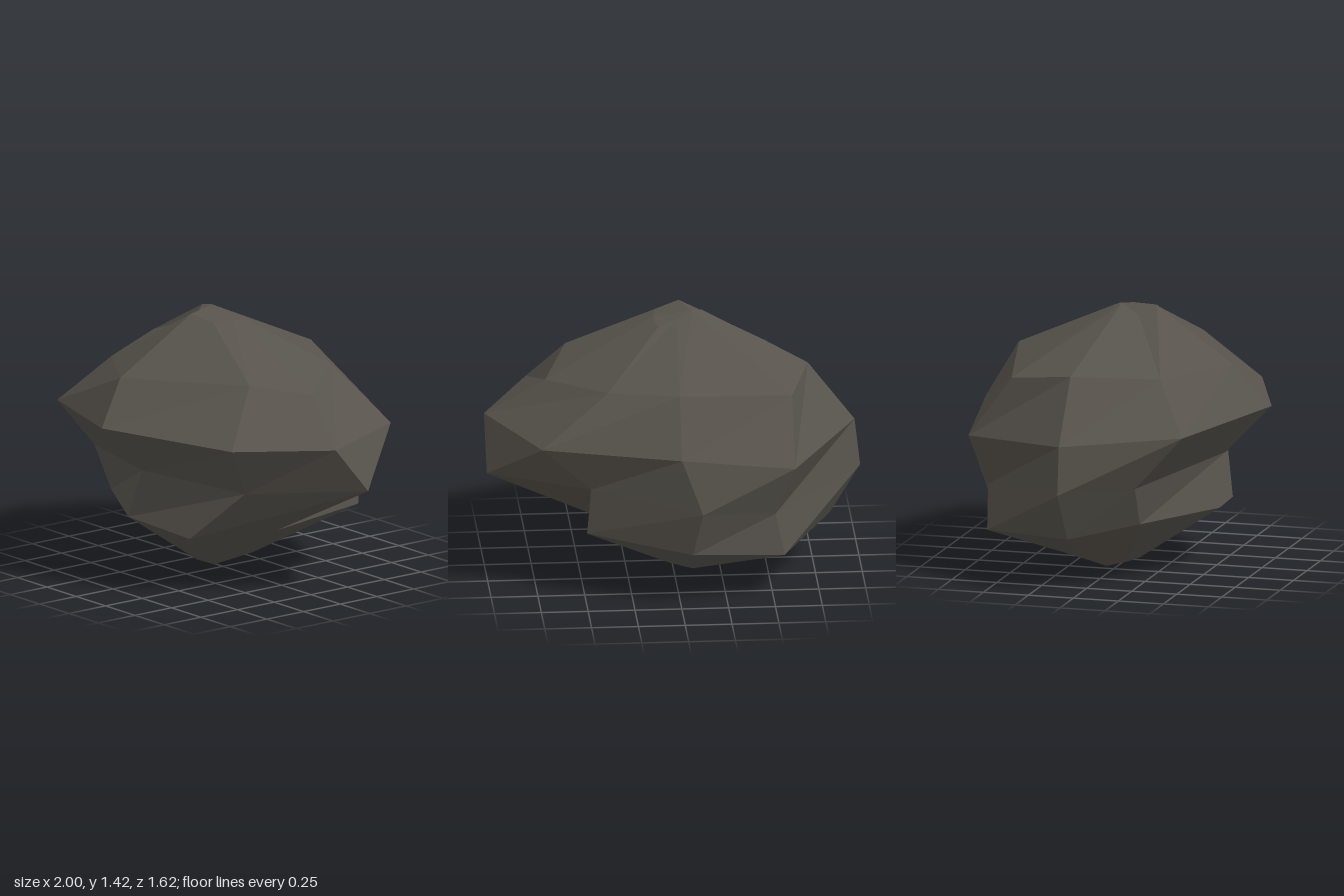
import * as THREE from 'three';

const SIDES = 8;

// Eight-sided cross-sections, crown to base; each point is x, y, z.
const crown = [[0.1, 1.38, 0.01], [0.08, 1.38, 0.13], [-0.05, 1.41, 0.18], [-0.12, 1.36, 0.1],
  [-0.16, 1.415, 0.01], [-0.11, 1.42, -0.01], [-0.02, 1.39, -0.06], [0.08, 1.36, -0.1]];
const shoulder = [[0.68, 1.07, -0.07], [0.55, 1.15, 0.26], [-0.1, 1.12, 0.62], [-0.52, 1.11, 0.34],
  [-0.72, 1.14, -0.1], [-0.61, 1.09, -0.46], [0, 1.15, -0.6], [0.37, 1.12, -0.44]];
const rim = [[1, 0.85, 0.03], [0.74, 0.87, 0.53], [-0.02, 0.89, 0.81], [-0.75, 0.85, 0.53],
  [-0.97, 0.81, -0.09], [-0.61, 0.76, -0.7], [0, 0.85, -0.78], [0.73, 0.85, -0.56]];
const waist = [[1, 0.59, -0.19], [0.64, 0.59, 0.36], [0, 0.62, 0.55], [-0.76, 0.56, 0.27],
  [-1, 0.55, -0.09], [-0.51, 0.48, -0.62], [-0.11, 0.55, -0.81], [0.47, 0.62, -0.56]];
const belly = [[0.42, 0.28, -0.03], [0.33, 0.3, 0.49], [-0.12, 0.34, 0.55], [-0.63, 0.34, 0.26],
  [-0.84, 0.28, -0.08], [-0.56, 0.24, -0.61], [-0.06, 0.3, -0.74], [0.49, 0.36, -0.53]];
const foot = [[0.03, 0.04, -0.02], [0.01, 0.025, 0.07], [-0.1, 0.035, 0.1], [-0.2, 0.035, 0.07],
  [-0.28, 0.02, -0.03], [-0.22, 0.05, -0.22], [-0.1, 0.02, -0.19], [0.02, 0.05, -0.18]];

// Joins the cross-sections with triangles and closes both ends at a pole.
function skin(rings, top, bottom) {
  const points = [];
  const tri = (...corners) => corners.forEach((p) => points.push(...p));
  const last = rings[rings.length - 1];
  for (let i = 0; i < SIDES; i++) {
    const j = (i + 1) % SIDES;
    tri(top, rings[0][j], rings[0][i]);
    for (let r = 0; r < rings.length - 1; r++) {
      const upper = rings[r], lower = rings[r + 1];
      tri(upper[i], upper[j], lower[j]);
      tri(upper[i], lower[j], lower[i]);
    }
    tri(bottom, last[i], last[j]);
  }
  const geometry = new THREE.BufferGeometry();
  geometry.setAttribute('position', new THREE.Float32BufferAttribute(points, 3));
  geometry.computeVertexNormals();
  return geometry;
}

export function createModel() {
  const stone = new THREE.MeshStandardMaterial({ color: 0x57534c, flatShading: true });
  stone.name = 'stone grey';

  // Faceted boulder with an overhanging rim
  const boulder = new THREE.Mesh(
    skin([crown, shoulder, rim, waist, belly, foot], [-0.1, 1.42, 0], [-0.1, 0, -0.01]), stone);
  boulder.name = 'boulder';

  const group = new THREE.Group();
  group.name = 'rock';
  group.add(boulder);
  return group;
}
